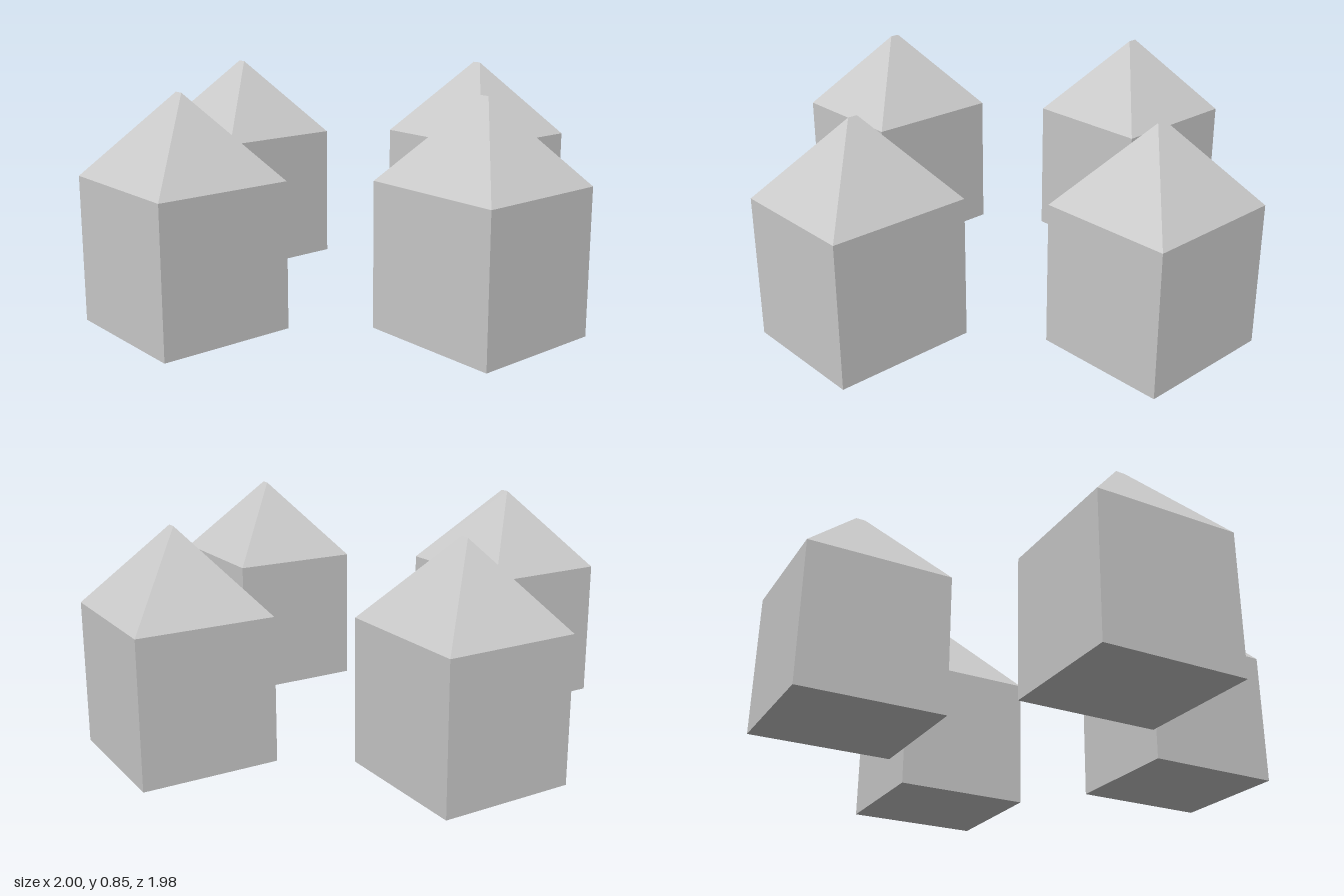
import * as THREE from 'three';

const WIDTH = 0.51, DEPTH = 0.548, WALL_H = 0.54, ROOF_H = 0.305, RIDGE = 0.036;

// Box standing on y = 0 without the listed sides (0 +x, 1 -x, 2 +y, 3 -y, 4 +z, 5 -z)
function openBox(w, h, d, dropped) {
  const geo = new THREE.BoxGeometry(w, h, d).translate(0, h / 2, 0);
  const index = Array.from(geo.index.array);
  geo.setIndex(index.filter((_, i) => !dropped.includes(Math.floor(i / 6))));
  geo.clearGroups();
  return geo;
}

// Hipped roof: the upper corners are drawn in to a short ridge along z
function roofGeometry() {
  const geo = openBox(WIDTH, ROOF_H, DEPTH, [2, 3]);
  const p = geo.attributes.position;
  for (let i = 0; i < p.count; i++) {
    if (p.getY(i) > ROOF_H / 2) {
      p.setX(i, 0);
      p.setZ(i, Math.sign(p.getZ(i)) * RIDGE / 2);
    }
  }
  const flat = geo.toNonIndexed();
  flat.computeVertexNormals();
  return flat;
}

export function createModel() {
  const model = new THREE.Group();
  model.name = 'huts';
  const material = new THREE.MeshStandardMaterial({ color: 0xcccccc, flatShading: true });
  const wallGeo = openBox(WIDTH, WALL_H, DEPTH, [2]);
  const roofGeo = roofGeometry();

  // Four identical huts set in a diamond
  const places = [
    ['frontHut', 0, 0.716],
    ['backHut', 0, -0.716],
    ['leftHut', 0.745, -0.013],
    ['rightHut', -0.745, -0.023],
  ];
  for (const [name, x, z] of places) {
    const hut = new THREE.Group();
    hut.name = name;
    hut.position.set(x, 0, z);

    const walls = new THREE.Mesh(wallGeo, material);
    walls.name = 'walls';
    const roof = new THREE.Mesh(roofGeo, material);
    roof.name = 'roof';
    roof.position.y = WALL_H;

    hut.add(walls, roof);
    model.add(hut);
  }
  return model;
}
